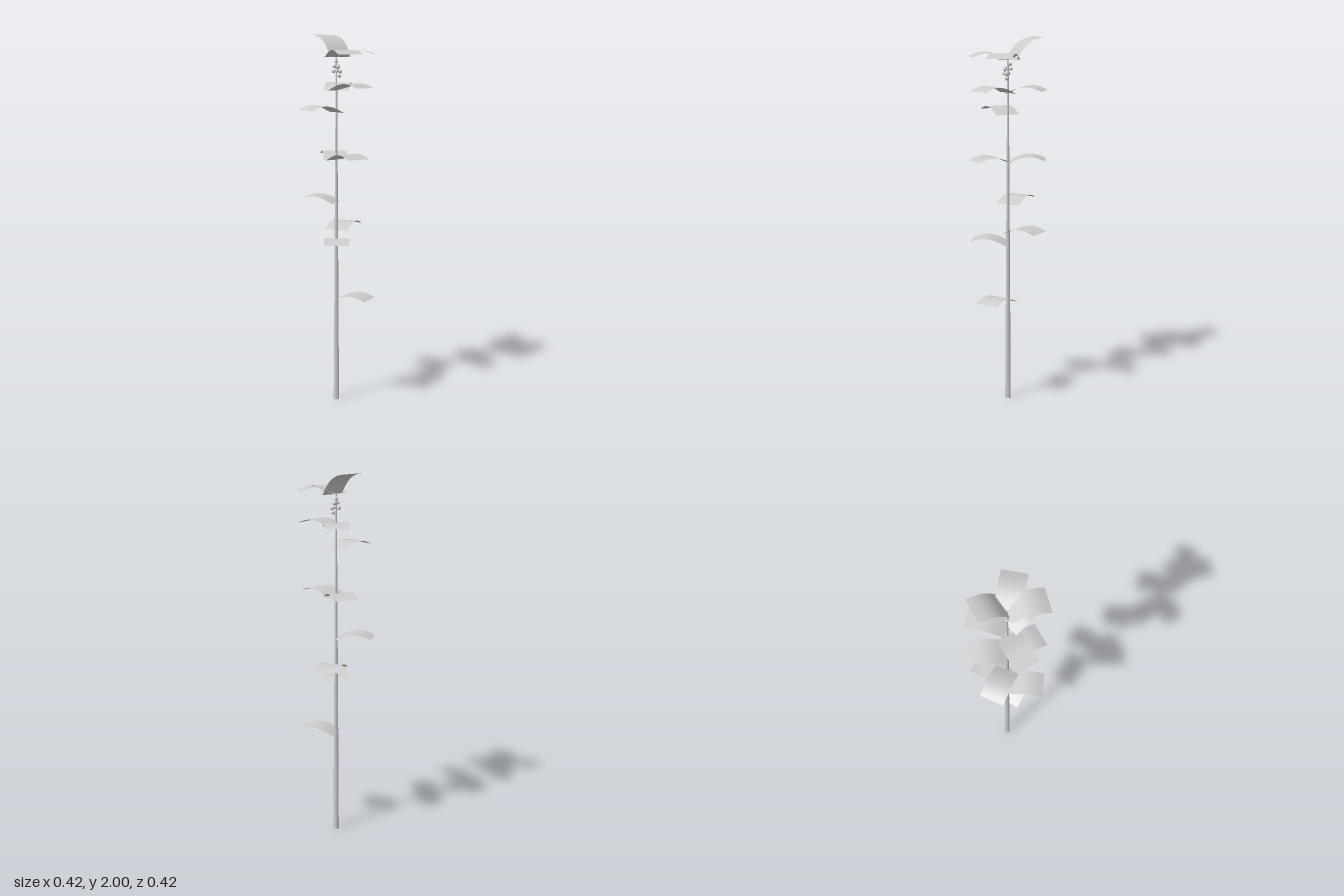
import * as THREE from 'three';

const LENGTH = 0.2, WIDTH = 0.134;

// Arched leaf blade: rises from its base, peaks past the middle, droops at the tip
function makeLeafGeometry() {
  const arch = new THREE.CatmullRomCurve3([
    [0, 0], [0.05, 0.024], [0.1, 0.037], [0.15, 0.034], [0.2, 0.016],
  ].map(([z, y]) => new THREE.Vector3(0, y, z)));
  const geo = new THREE.PlaneGeometry(WIDTH, LENGTH, 1, 8);
  geo.rotateX(-Math.PI / 2).translate(0, 0, LENGTH / 2);
  const pos = geo.attributes.position;
  for (let i = 0; i < pos.count; i++) {
    const p = arch.getPoint(THREE.MathUtils.clamp(pos.getZ(i) / LENGTH, 0, 1));
    pos.setY(i, p.y);
    pos.setZ(i, p.z);
  }
  geo.computeVertexNormals();
  return geo;
}

export function createModel() {
  const model = new THREE.Group();
  model.name = 'plant';
  const grey = new THREE.MeshStandardMaterial({ color: 0xcccccc });
  const leafGrey = new THREE.MeshStandardMaterial({ color: 0xcccccc, side: THREE.DoubleSide });

  // Tapered stem
  const stem = new THREE.Mesh(new THREE.CylinderGeometry(0.004, 0.016, 1.89, 8), grey);
  stem.name = 'stem';
  stem.position.y = 0.945;
  model.add(stem);

  // Leaves: base height, heading in degrees (0 = front, 90 = +x), upward tilt, base x, base z
  const leaves = new THREE.Group();
  leaves.name = 'leaves';
  const leafGeo = makeLeafGeometry();
  [
    [0.57, 43], [0.888, 340], [0.953, 136], [1.105, 231],
    [1.338, 15], [1.338, 165], [1.592, 285],
    [1.709, 27], [1.709, 153],
    [1.884, 0], [1.884, 65], [1.884, 193, 31, 0.028, -0.01],
  ].forEach(([y, heading, tilt = 0, x = 0, z = 0]) => {
    const leaf = new THREE.Mesh(leafGeo, leafGrey);
    leaf.name = 'leaf';
    leaf.rotation.order = 'YXZ';
    leaf.rotation.set(-THREE.MathUtils.degToRad(tilt), THREE.MathUtils.degToRad(heading), 0);
    leaf.position.set(x, y, z);
    leaves.add(leaf);
  });
  model.add(leaves);

  // Small berries clustered under the top leaves
  const berries = new THREE.Group();
  berries.name = 'berries';
  const berryGeo = new THREE.SphereGeometry(0.01, 10, 8);
  [
    [0.004, 1.86, -0.01], [-0.016, 1.836, 0.012], [0.016, 1.836, -0.012], [0.002, 1.832, 0.018],
    [-0.014, 1.81, -0.006], [0.016, 1.808, 0.014], [-0.002, 1.812, 0.02], [0.012, 1.785, 0.01],
  ].forEach((p) => {
    const berry = new THREE.Mesh(berryGeo, grey);
    berry.name = 'berry';
    berry.position.set(...p);
    berries.add(berry);
  });
  model.add(berries);

  return model;
}
